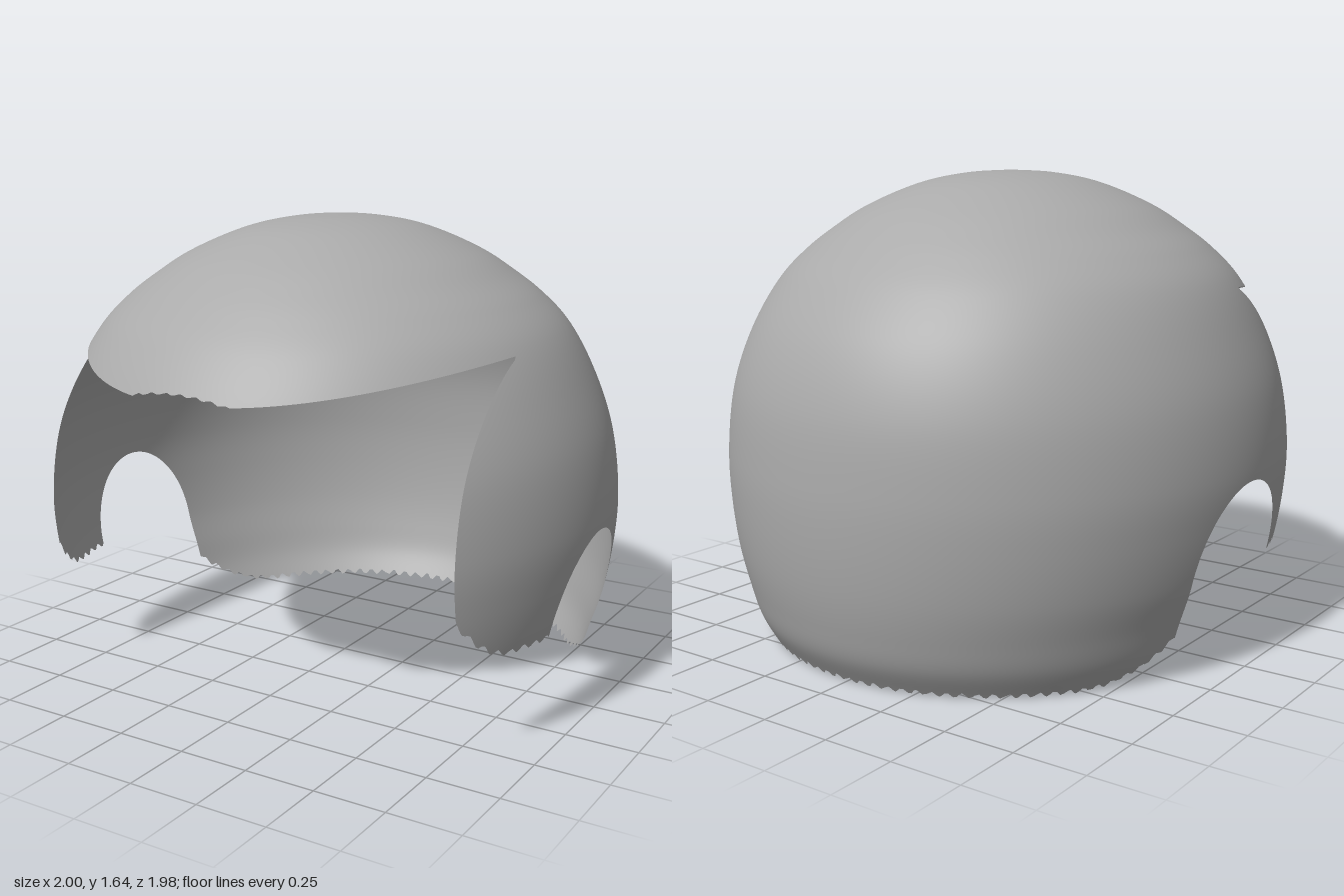
import * as THREE from 'three';
import { mergeVertices } from 'three/addons/utils/BufferGeometryUtils.js';

const CENTRE_Z = 0.05;

// Profile of the dome: half width, height, half depth
const profile = new THREE.CatmullRomCurve3([
  [0.85, 0, 0.92], [0.89, 0.1, 0.98], [0.92, 0.2, 1.01], [0.96, 0.33, 1.035],
  [0.99, 0.5, 1.05], [1, 0.67, 1.05], [0.97, 0.9, 1.025], [0.9, 1.1, 0.955],
  [0.81, 1.27, 0.84], [0.715, 1.37, 0.74], [0.62, 1.44, 0.655], [0.51, 1.51, 0.55],
  [0.31, 1.595, 0.35], [0.15, 1.63, 0.17], [0, 1.64, 0],
].map((p) => new THREE.Vector3(...p)));

// Small teeth along the ragged lower edges
const ragged = (p) => 0.01 * Math.sin(Math.atan2(p.x, p.z) * 110);

// Each rule is positive where the shell is kept
const cuts = [
  // face opening, with a brim that dips in the middle
  (p) => Math.max(Math.abs(p.x) - 0.8, p.y - 1.13 - 0.18 * p.x * p.x, -p.z),
  // arched ear openings
  (p) => {
    const dz = (p.z - 0.015) / 0.26;
    const dy = Math.max(0, p.y - 0.34) / 0.3;
    return Math.hypot(dz, dy) - 1;
  },
  // lower edge of the cheek pieces
  (p) => Math.max(-p.z, p.y - 0.34 - 3 * Math.max(0, p.z - 0.45) ** 2 - ragged(p)),
  // lower edge of the back, rising towards the ears
  (p) => Math.max(p.z, p.y - 0.012 - 1.9 * Math.max(0, p.z + 0.52) ** 2 - ragged(p)),
];

// Point where a rule changes sign between a and b
function crossing(a, b, rule) {
  const positive = rule(a) >= 0;
  let lo = 0, hi = 1;
  const p = new THREE.Vector3();
  for (let i = 0; i < 14; i++) {
    const mid = (lo + hi) / 2;
    p.lerpVectors(a, b, mid);
    if ((rule(p) >= 0) === positive) lo = mid; else hi = mid;
  }
  return p;
}

function clip(polygon, rule) {
  const out = [];
  polygon.forEach((a, i) => {
    const b = polygon[(i + 1) % polygon.length];
    const inA = rule(a) >= 0, inB = rule(b) >= 0;
    if (inA) out.push(a);
    if (inA !== inB) out.push(inA ? crossing(a, b, rule) : crossing(b, a, rule));
  });
  return out;
}

function shellGeometry(around = 288, rows = 128) {
  const grid = [];
  for (let j = 0; j <= rows; j++) {
    const s = profile.getPoint(j / rows);
    const row = [];
    for (let i = 0; i <= around; i++) {
      const t = ((i % around) / around) * Math.PI * 2;
      row.push(new THREE.Vector3(s.x * Math.sin(t), s.y, CENTRE_Z + s.z * Math.cos(t)));
    }
    grid.push(row);
  }
  const positions = [];
  const addTriangle = (triangle) => {
    let polygon = triangle;
    for (const rule of cuts) polygon = clip(polygon, rule);
    for (let k = 1; k + 1 < polygon.length; k++) {
      for (const v of [polygon[0], polygon[k], polygon[k + 1]]) positions.push(v.x, v.y, v.z);
    }
  };
  for (let j = 0; j < rows; j++) {
    for (let i = 0; i < around; i++) {
      const a = grid[j][i], b = grid[j][i + 1], c = grid[j + 1][i + 1], d = grid[j + 1][i];
      addTriangle([a, b, c]);
      if (j < rows - 1) addTriangle([a, c, d]);
    }
  }
  const geometry = new THREE.BufferGeometry();
  geometry.setAttribute('position', new THREE.Float32BufferAttribute(positions, 3));
  const merged = mergeVertices(geometry, 1e-5);
  merged.computeVertexNormals();
  return merged;
}

export function createModel() {
  const grey = new THREE.MeshStandardMaterial({ color: 0xaaaaaa, side: THREE.DoubleSide });
  grey.name = 'grey';

  const shell = new THREE.Mesh(shellGeometry(), grey);
  shell.name = 'helmetShell';

  const model = new THREE.Group();
  model.name = 'openHelmet';
  model.add(shell);
  return model;
}
